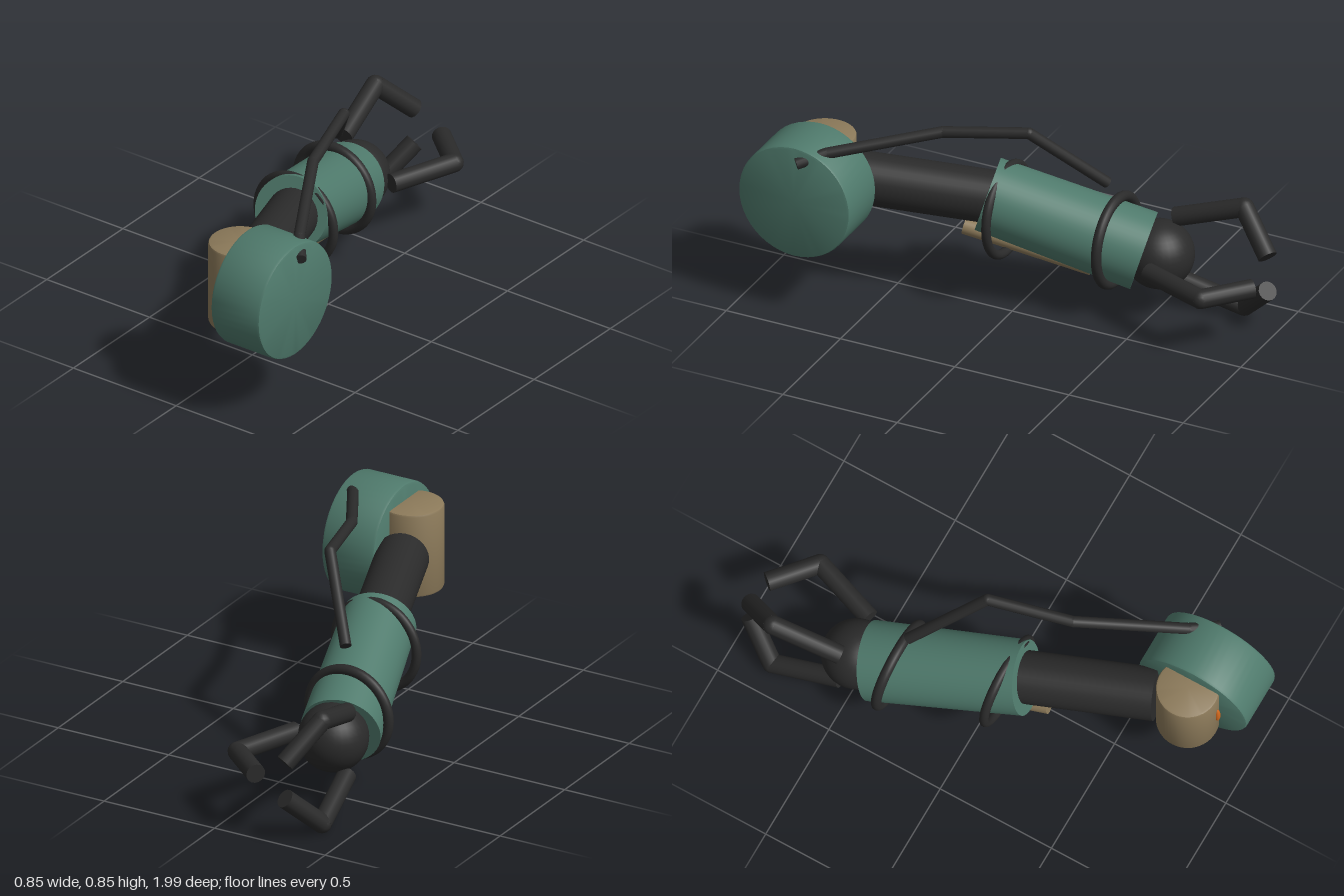
import * as THREE from 'three';
import { toCreasedNormals } from 'three/addons/utils/BufferGeometryUtils.js';

const mat = (name, color) => {
  const m = new THREE.MeshStandardMaterial({ color });
  m.name = name;
  return m;
};
const V = (p) => new THREE.Vector3(...p);

export function createModel() {
  const green = mat('green paint', 0x4f7a6c);
  const tan = mat('tan paint', 0x8c7a5a);
  const dark = mat('dark rubber', 0x2a2a2a);
  const orange = mat('orange paint', 0xd2691e);
  const model = new THREE.Group();
  model.name = 'mechanicalArm';

  const add = (name, geometry, material, pos = [0, 0, 0], parent = model) => {
    const m = new THREE.Mesh(geometry, material);
    m.name = name;
    m.position.set(...pos);
    parent.add(m);
    return m;
  };

  // Upright drum with small bevelled rims
  const drum = (r, h, b) => {
    const profile = [[0, -h / 2], [r - b, -h / 2], [r - b * 0.3, -h / 2 + b * 0.3], [r, -h / 2 + b],
      [r, h / 2 - b], [r - b * 0.3, h / 2 - b * 0.3], [r - b, h / 2], [0, h / 2]];
    const g = new THREE.LatheGeometry(profile.map((p) => new THREE.Vector2(...p)), 48);
    return toCreasedNormals(g, 0.7);
  };

  // Straight cylinder between two points, radius ra at a and rb at b
  const rod = (name, a, b, ra, rb, material, parent = model, sides = 32) => {
    const from = V(a), dir = V(b).sub(from), len = dir.length();
    const m = add(name, new THREE.CylinderGeometry(rb, ra, len, sides), material, [0, 0, 0], parent);
    m.position.copy(from).addScaledVector(dir, 0.5);
    m.quaternion.setFromUnitVectors(new THREE.Vector3(0, 1, 0), dir.normalize());
    return m;
  };

  // Chain of rods with round joints at the bends
  const bentRod = (name, points, r, sides) => {
    const g = new THREE.Group();
    g.name = name;
    model.add(g);
    for (let i = 0; i + 1 < points.length; i++) {
      rod(name + 'Segment', points[i], points[i + 1], r, r, dark, g, sides);
      if (i > 0) add(name + 'Joint', new THREE.SphereGeometry(r, 16, 10), dark, points[i], g);
    }
  };

  // Shoulder
  add('shoulderDrum', drum(0.243, 0.236, 0.012), green, [0.283, 0.5, 0.755]).rotation.z = Math.PI / 2;
  add('shoulderPivot', drum(0.125, 0.355, 0.01), tan, [0.13, 0.5, 0.755]);
  add('shoulderMarker', new THREE.SphereGeometry(1, 20, 14), orange, [0.145, 0.5, 0.88]).scale.set(0.012, 0.055, 0.012);

  // Upper arm and forearm
  rod('upperArm', [0.102, 0.5, 0.63], [-0.12, 0.433, 0], 0.106, 0.106, dark);
  rod('forearm', [-0.075, 0.455, 0.145], [-0.25, 0.263, -0.45], 0.15, 0.16, green, model, 48);
  rod('piston', [-0.078, 0.285, 0.25], [-0.192, 0.168, -0.25], 0.033, 0.033, tan);

  // Rings round the forearm
  add('elbowRing', new THREE.TorusGeometry(0.183, 0.019, 14, 56), dark, [-0.103, 0.39, 0.075]);
  add('wristRing', new THREE.TorusGeometry(0.178, 0.021, 14, 56), dark, [-0.225, 0.296, -0.343]);

  // Wrist ball and three claw fingers
  const hand = [-0.255, 0.264, -0.515];
  add('wristBall', new THREE.SphereGeometry(0.14, 32, 20), dark, hand);
  for (let i = 0; i < 3; i++) {
    const a = (i * Math.PI * 2) / 3;
    const at = (r, z) => [hand[0] + r * Math.cos(a), hand[1] + r * Math.sin(a), z];
    bentRod('finger', [at(0.155, -0.545), at(0.255, -0.823), at(0.088, -0.967)], 0.039, 16);
  }

  // Loose cable running from the shoulder to above the forearm
  bentRod('cable', [[-0.195, 0.562, -0.318], [0.015, 0.828, -0.08], [0.11, 0.798, 0.25],
    [0.335, 0.715, 0.645], [0.412, 0.682, 0.738]], 0.023, 14);

  return model;
}
